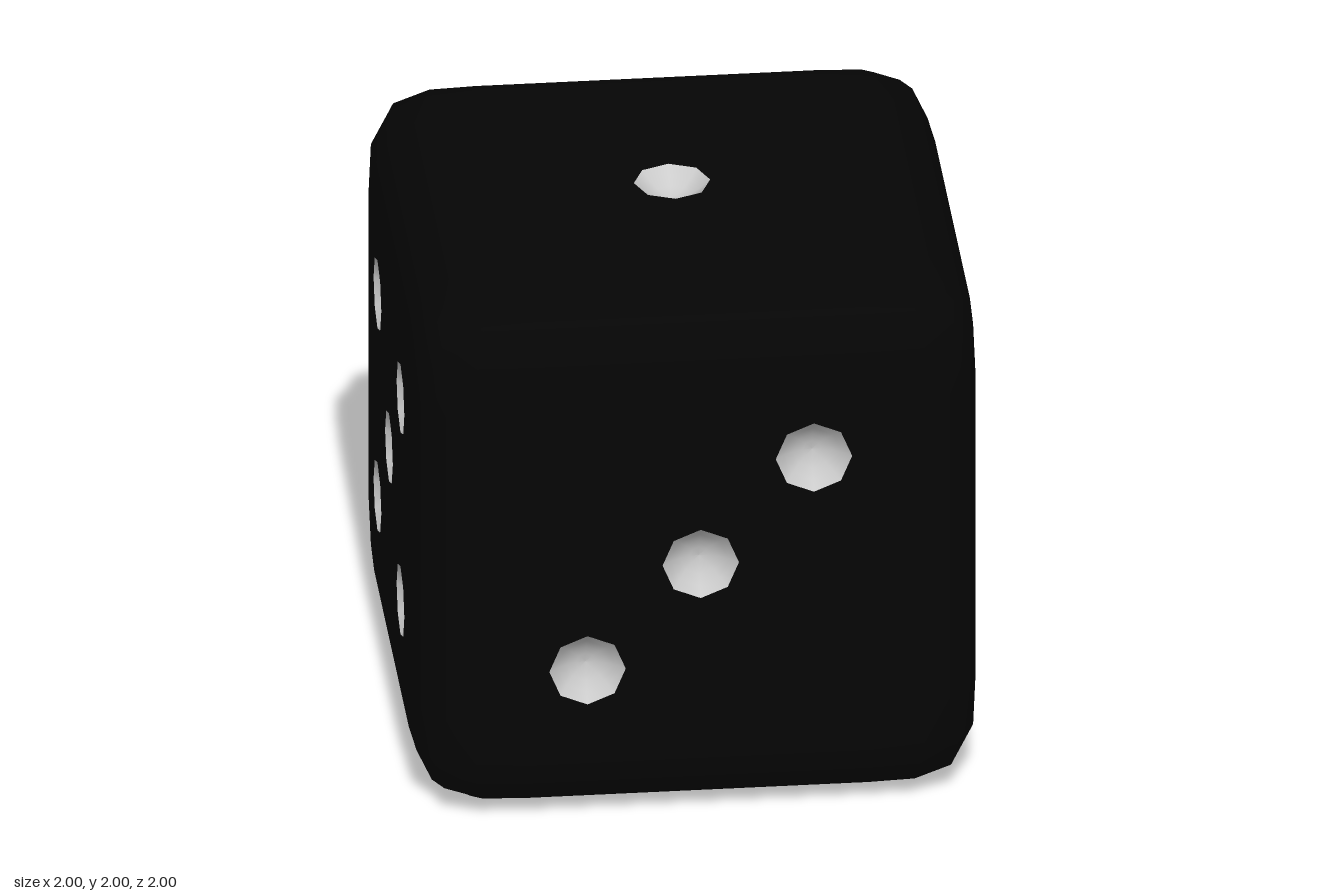
import * as THREE from 'three';
import { mergeGeometries } from 'three/addons/utils/BufferGeometryUtils.js';

const FLAT = 0.6;        // half-width of the flat middle of each face
const ROUND = 0.4;       // reach of the rounding beyond it
const POWER = 3.6;       // superellipse exponent of the rounding
const PIP_R = 0.135, PIP_DEPTH = 0.07, PIP_SIDES = 8;
const S = 0.4;           // pip spacing

const diagonal = [[-S, -S], [S, S]];
const corners = [...diagonal, [-S, S], [S, -S]];
const faces = [
  { name: 'front', rot: [0, 0], pips: [...diagonal, [0, 0]] },
  { name: 'right', rot: [0, Math.PI / 2], pips: corners },
  { name: 'back', rot: [0, Math.PI], pips: diagonal },
  { name: 'left', rot: [0, -Math.PI / 2], pips: [...corners, [0, 0]] },
  { name: 'top', rot: [-Math.PI / 2, 0], pips: [[0, 0]] },
  { name: 'bottom', rot: [Math.PI / 2, 0], pips: [...corners, [0, S], [0, -S]] },
];

const orient = (geo, [rx, ry]) => geo.rotateX(rx).rotateY(ry).translate(0, 1, 0);

// Rounded rim of one face: a grid without its middle, bent to a superellipse
function rimGeometry() {
  const geo = new THREE.PlaneGeometry(2, 2, 10, 10).translate(0, 0, 1);
  const pos = geo.attributes.position, nor = geo.attributes.normal;
  const inFlat = (i) => Math.max(Math.abs(pos.getX(i)), Math.abs(pos.getY(i))) < FLAT + 0.01;
  const kept = [], old = geo.index.array;
  for (let i = 0; i < old.length; i += 3) {
    const tri = [old[i], old[i + 1], old[i + 2]];
    if (!tri.every(inFlat)) kept.push(...tri);
  }
  geo.setIndex(kept);
  const p = new THREE.Vector3();
  for (let i = 0; i < pos.count; i++) {
    p.fromBufferAttribute(pos, i);
    const base = p.toArray().map((c) => THREE.MathUtils.clamp(c, -FLAT, FLAT));
    const off = p.toArray().map((c, k) => (c - base[k]) / ROUND);
    const len = off.reduce((sum, o) => sum + Math.abs(o) ** POWER, 0) ** (1 / POWER);
    pos.setXYZ(i, ...base.map((b, k) => b + ROUND * off[k] / len));
    p.set(...off.map((o) => Math.sign(o) * Math.abs(o) ** (POWER - 1))).normalize();
    nor.setXYZ(i, p.x, p.y, p.z);
  }
  return geo;
}

// Flat middle of one face with an octagonal hole for each pip
function flatGeometry(pips) {
  const shape = new THREE.Shape([[-1, -1], [1, -1], [1, 1], [-1, 1]]
    .map(([x, y]) => new THREE.Vector2(x * FLAT, y * FLAT)));
  for (const [x, y] of pips) {
    const ring = [];
    for (let i = 0; i < PIP_SIDES; i++) {
      const a = -i / PIP_SIDES * Math.PI * 2;
      ring.push(new THREE.Vector2(x + PIP_R * Math.cos(a), y + PIP_R * Math.sin(a)));
    }
    shape.holes.push(new THREE.Path(ring));
  }
  return new THREE.ShapeGeometry(shape).translate(0, 0, 1);
}

// Shallow dish, profile running from rim to centre so it faces outwards
function dishGeometry(x, y) {
  const profile = [];
  for (let i = 0; i <= 4; i++) {
    const r = 1 - i / 4;
    profile.push(new THREE.Vector2(PIP_R * r, -PIP_DEPTH * (1 - r * r)));
  }
  return new THREE.LatheGeometry(profile, PIP_SIDES).rotateX(Math.PI / 2).translate(x, y, 1);
}

export function createModel() {
  const model = new THREE.Group();
  model.name = 'die';
  const black = new THREE.MeshStandardMaterial({ color: 0x050505 });
  const grey = new THREE.MeshStandardMaterial({ color: 0xcccccc });

  // Body
  const shells = faces.flatMap((f) =>
    [rimGeometry(), flatGeometry(f.pips)].map((g) => orient(g, f.rot)));
  const body = new THREE.Mesh(mergeGeometries(shells), black);
  body.name = 'body';
  model.add(body);

  // Pips, grouped by face
  for (const f of faces) {
    const group = new THREE.Group();
    group.name = f.name + 'Pips';
    for (const [x, y] of f.pips) {
      const pip = new THREE.Mesh(orient(dishGeometry(x, y), f.rot), grey);
      pip.name = 'pip';
      group.add(pip);
    }
    model.add(group);
  }
  return model;
}
